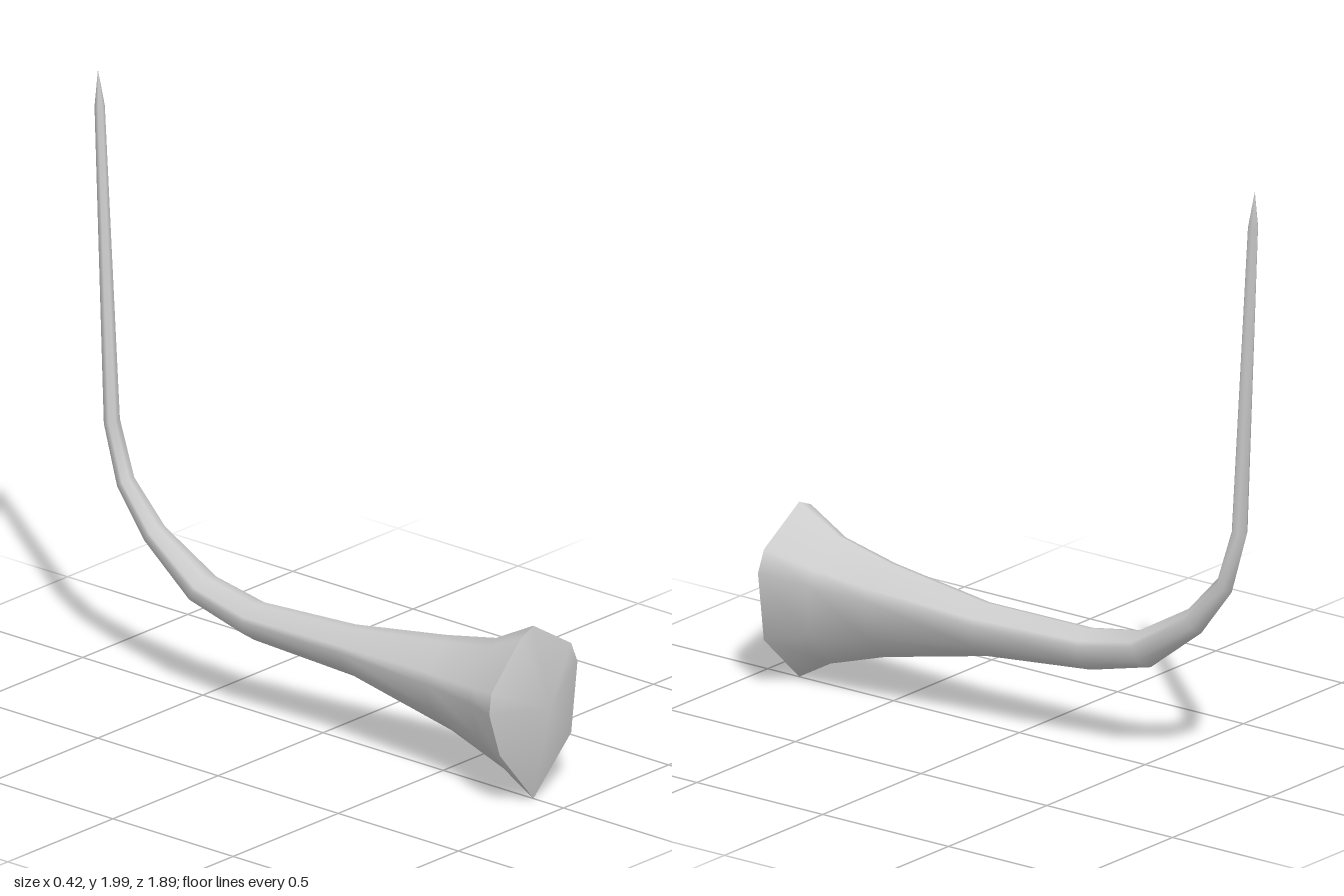
import * as THREE from 'three';

// Flared head outline, counter-clockwise from the front
const outline = [[0, 0.59], [-0.06, 0.565], [-0.2, 0.42], [-0.21, 0.35], [-0.16, 0.2],
  [0, 0.01], [0.18, 0.18], [0.21, 0.41], [0.18, 0.48]]
  .map(([x, y]) => [x / 0.21, (y - 0.3) / 0.29]);
const N = outline.length;

// Rings: upper z, y; lower z, y; min x, max x; share of the head outline against a round section
const rings = [
  [0.875, 0.59, 0.875, 0.01, -0.21, 0.21, 1],
  [0.72, 0.51, 0.75, 0.08, -0.14, 0.14, 0.8],
  [0.51, 0.465, 0.53, 0.15, -0.107, 0.12, 0.5],
  [0.14, 0.41, 0.13, 0.235, -0.085, 0.077, 0.25],
  [-0.25, 0.4, -0.26, 0.265, -0.097, 0.035, 0],
  [-0.45, 0.435, -0.5, 0.325, -0.087, 0.03, 0],
  [-0.65, 0.55, -0.7, 0.48, -0.07, 0.01, 0],
  [-0.77, 0.68, -0.82, 0.64, -0.062, 0, 0],
  [-0.83, 0.855, -0.88, 0.84, -0.056, 0, 0],
  [-0.91, 1.88, -0.945, 1.88, -0.02, 0.014, 0],
  [-0.934, 2, -0.934, 2, -0.003, -0.003, 0],
];

function ringPoints([zt, yt, zb, yb, x0, x1, mix]) {
  return outline.map(([u, v]) => {
    const r = Math.hypot(u, v);
    const a = u / r * (1 - mix) + u * mix;
    const b = v / r * (1 - mix) + v * mix;
    const t = (1 + b) / 2;
    return [(x0 + x1) / 2 + a * (x1 - x0) / 2, yb + (yt - yb) * t, zb + (zt - zb) * t];
  });
}

function makeMesh(name, points, index) {
  const g = new THREE.BufferGeometry();
  g.setAttribute('position', new THREE.Float32BufferAttribute(points.flat(), 3));
  g.setIndex(index);
  g.computeVertexNormals();
  const mesh = new THREE.Mesh(g, new THREE.MeshStandardMaterial({ color: 0xcccccc }));
  mesh.name = name;
  return mesh;
}

export function createModel() {
  const group = new THREE.Group();
  group.name = 'curvedSpike';

  // Tapering shaft that bends upward into a point
  const shaftIndex = [];
  for (let i = 0; i < rings.length - 1; i++) {
    for (let j = 0; j < N; j++) {
      const a = i * N + j, b = i * N + (j + 1) % N;
      shaftIndex.push(a, a + N, b);
      if (i < rings.length - 2) shaftIndex.push(b, a + N, b + N);
    }
  }
  group.add(makeMesh('shaft', rings.flatMap(ringPoints), shaftIndex));

  // Shallow faceted cone closing the head
  const capIndex = [];
  for (let j = 0; j < N; j++) capIndex.push(N, j, (j + 1) % N);
  group.add(makeMesh('headCap', [...ringPoints(rings[0]), [0, 0.33, 0.945]], capIndex));

  return group;
}
